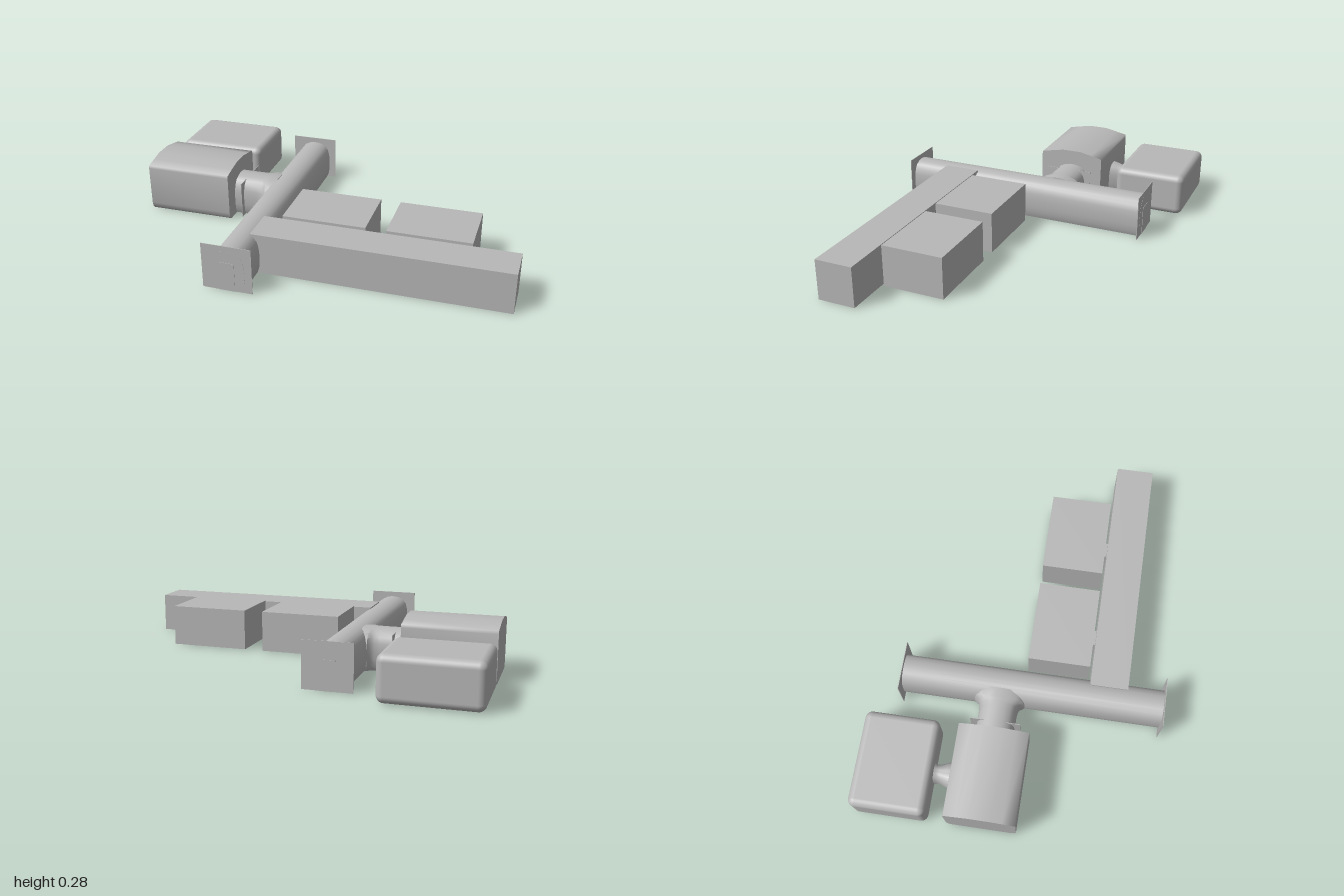
import * as THREE from 'three';
import { toCreasedNormals } from 'three/addons/utils/BufferGeometryUtils.js';
import { RoundedBoxGeometry } from 'three/addons/geometries/RoundedBoxGeometry.js';

// Convex profile (counter-clockwise u,y) swept along z; stations are [z, uScale, yScale]
function loft(profile, stations, crease = 0.8) {
  const pos = [], index = [], n = profile.length;
  for (const [z, su, sy] of stations) for (const [u, y] of profile) pos.push(u * su, y * sy, z);
  for (let k = 0; k < stations.length - 1; k++) {
    for (let i = 0; i < n; i++) {
      const a = k * n + i, b = k * n + (i + 1) % n;
      index.push(a, b, b + n, a, b + n, a + n);
    }
  }
  const last = (stations.length - 1) * n;
  for (let i = 1; i < n - 1; i++) index.push(0, i + 1, i, last, last + i, last + i + 1);
  const g = new THREE.BufferGeometry();
  g.setAttribute('position', new THREE.Float32BufferAttribute(pos, 3));
  g.setIndex(index);
  return toCreasedNormals(g, crease);
}

// Complete a right half (bottom to top) with its mirror image
const mirrored = (half) => [...half, ...half.map(([u, y]) => [-u, y]).reverse()];

export function createModel() {
  const model = new THREE.Group();
  const grey = new THREE.MeshStandardMaterial({ color: 0xb8b8b8 });
  grey.name = 'plain grey';

  const add = (name, geometry, x = 0, y = 0, z = 0) => {
    const mesh = new THREE.Mesh(geometry, grey);
    mesh.name = name;
    mesh.position.set(x, y, z);
    model.add(mesh);
    return mesh;
  };
  // Box given by its extents
  const block = (name, x0, x1, y0, y1, z0, z1) =>
    add(name, new THREE.BoxGeometry(x1 - x0, y1 - y0, z1 - z0), (x0 + x1) / 2, (y0 + y1) / 2, (z0 + z1) / 2);

  // Rounded main corridor
  const arch = mirrored([
    [0.072, 0], [0.081, 0.025], [0.085, 0.06], [0.085, 0.1], [0.082, 0.135],
    [0.074, 0.165], [0.058, 0.187], [0.034, 0.199], [0.012, 0.204],
  ]);
  add('mainCorridor', loft(arch, [[-0.595, 1, 1], [0.722, 1, 1]]), -0.28);

  // End walls with door panels
  for (const [z, dir, side] of [[0.72, 1, 'front'], [-0.593, -1, 'back']]) {
    block(side + 'EndWall', -0.405, -0.16, 0, 0.23, z - 0.0015, z + 0.0015);
    block(side + 'Door', -0.32, -0.245, 0, 0.145, z + dir * 0.002 - 0.002, z + dir * 0.002 + 0.002);
  }

  // Side corridor flaring into the main one
  const branch = loft(arch, [
    [-0.55, 1.12, 0.99], [-0.42, 1.12, 0.99], [-0.395, 1.16, 0.99],
    [-0.378, 1.26, 0.99], [-0.365, 1.5, 0.99], [-0.32, 1.55, 0.98],
  ]);
  branch.rotateY(Math.PI / 2);
  add('sideCorridor', branch, 0, 0, -0.095);
  block('sideDoorFrame', -0.4915, -0.4885, 0, 0.19, -0.22, 0.03);

  // Barrel-roofed hall
  const hallProfile = mirrored([
    [0.152, 0], [0.165, 0.012], [0.173, 0.04], [0.174, 0.24], [0.171, 0.255],
    [0.11, 0.268], [0.05, 0.28],
  ]);
  const hall = loft(hallProfile, [[-0.99, 1, 1], [-0.54, 1, 1]], 1.2);
  hall.rotateY(Math.PI / 2);
  add('vaultedHall', hall, 0, 0, -0.09);

  // Soft-edged rear hall
  add('rearHall', new RoundedBoxGeometry(0.47, 0.22, 0.373, 4, 0.035), -0.765, 0.113, -0.541);

  // Tapered passage between the two halls
  add('hallPassage', loft(arch, [
    [-0.365, 0.62, 0.78], [-0.345, 0.5, 0.72], [-0.325, 0.5, 0.72], [-0.295, 0.66, 0.76], [-0.255, 0.82, 0.8],
  ]), -0.766);

  // Straight wing with two rooms on its rear side
  block('straightWing', -0.24, 1, 0, 0.203, 0.345, 0.535);
  for (const [name, x0, x1, link] of [['innerRoom', -0.15, 0.265, 0.028], ['outerRoom', 0.365, 0.775, 0.53]]) {
    block(name, x0, x1, 0, 0.21, 0.022, 0.333);
    block(name + 'Link', link - 0.038, link + 0.038, 0.002, 0.15, 0.33, 0.35);
  }

  return model;
}
